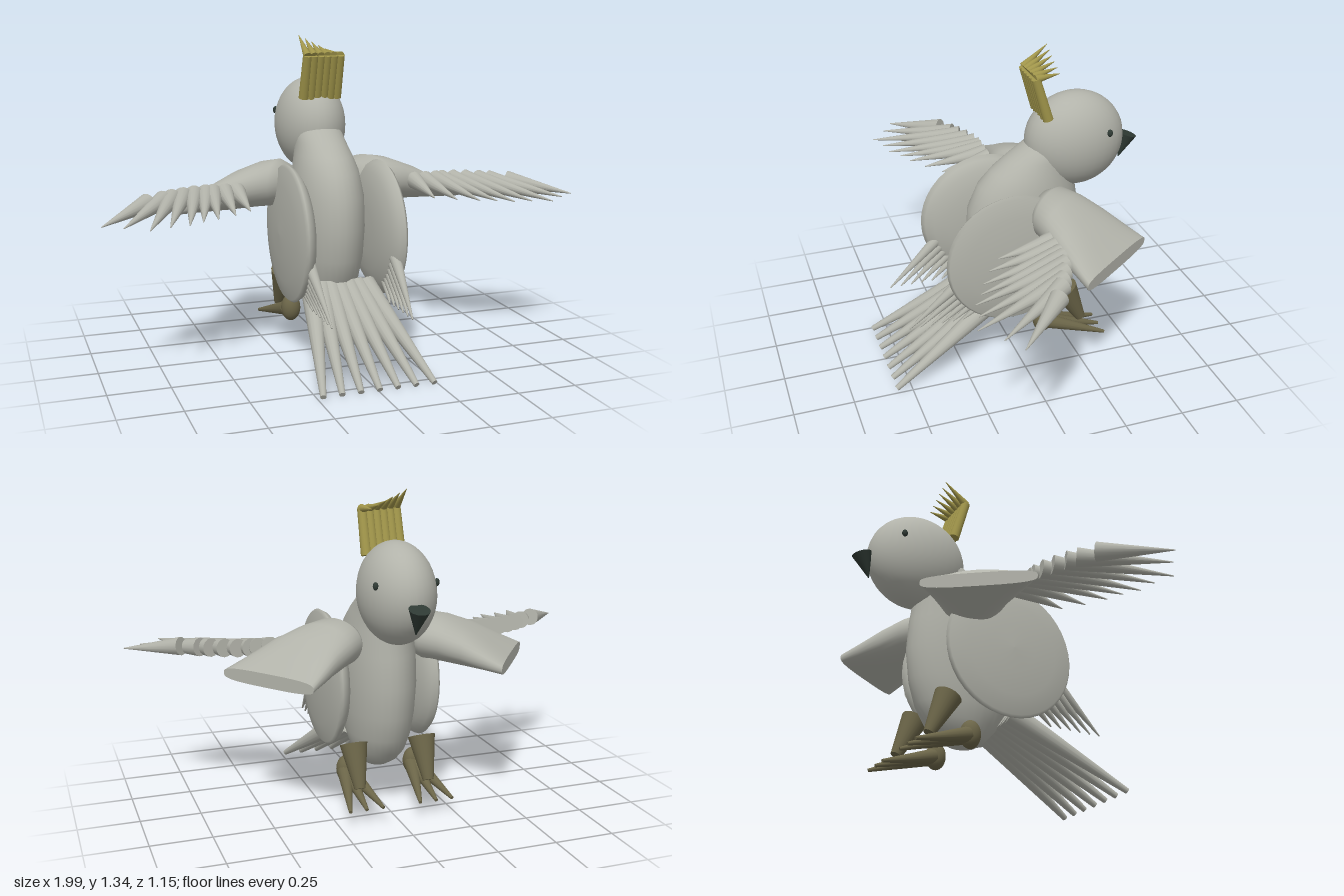
import * as THREE from 'three';

const V = (x, y, z) => new THREE.Vector3(x, y, z);
const material = (name, color) => {
  const m = new THREE.MeshStandardMaterial({ color });
  m.name = name;
  return m;
};

// Skin through rings; each ring is { c: centre, u, v: half-axes, p: squareness }, u x v along the path
function loft(rings, sides = 32) {
  const pos = [], index = [];
  const bend = (t, p) => Math.sign(t) * Math.abs(t) ** p;
  rings.forEach(({ c, u, v, p = 1 }, i) => {
    for (let j = 0; j < sides; j++) {
      const a = (j / sides) * Math.PI * 2;
      const q = c.clone().addScaledVector(u, bend(Math.cos(a), p)).addScaledVector(v, bend(Math.sin(a), p));
      pos.push(q.x, q.y, q.z);
      if (i === rings.length - 1) continue;
      const k = (j + 1) % sides, A = i * sides, B = A + sides;
      index.push(A + j, A + k, B + j, A + k, B + k, B + j);
    }
  });
  const g = new THREE.BufferGeometry();
  g.setAttribute('position', new THREE.Float32BufferAttribute(pos, 3));
  g.setIndex(index);
  g.computeVertexNormals();
  return g;
}

export function createModel() {
  const root = new THREE.Group();
  root.name = 'bird';
  const plumage = material('greyPlumage', 0xb2b3aa);
  const crestYellow = material('crestYellow', 0xa0954a);
  const legBrown = material('legBrown', 0x6b6548);
  const dark = material('darkHorn', 0x2f3a34);

  const add = (name, geometry, mat, parent = root) => {
    const mesh = new THREE.Mesh(geometry, mat);
    mesh.name = name;
    parent.add(mesh);
    return mesh;
  };
  const group = (name) => {
    const g = new THREE.Group();
    g.name = name;
    root.add(g);
    return g;
  };
  // Tapered rod from a to b
  const taper = (name, a, b, ra, rb, mat, parent, sides = 14) => {
    const d = b.clone().sub(a);
    const mesh = add(name, new THREE.CylinderGeometry(rb, ra, d.length(), sides), mat, parent);
    mesh.position.copy(a).add(b).multiplyScalar(0.5);
    mesh.quaternion.setFromUnitVectors(V(0, 1, 0), d.normalize());
    return mesh;
  };
  const ellipsoid = (name, c, r, mat, parent) => {
    const mesh = add(name, new THREE.SphereGeometry(1, 32, 20), mat, parent);
    mesh.position.copy(c);
    mesh.scale.copy(r);
  };
  const lerp = THREE.MathUtils.lerp;

  // Body and neck: y, centre z, half width, half depth
  const bodyRings = [
    [0.16, -0.07, 0, 0], [0.172, -0.07, 0.05, 0.06], [0.2, -0.075, 0.083, 0.105], [0.25, -0.08, 0.11, 0.155],
    [0.32, -0.075, 0.13, 0.2], [0.42, -0.07, 0.143, 0.235], [0.55, -0.07, 0.15, 0.25], [0.68, -0.07, 0.147, 0.24],
    [0.78, -0.085, 0.133, 0.21], [0.84, -0.115, 0.117, 0.185], [0.89, -0.155, 0.105, 0.16], [0.94, -0.2, 0.1, 0.13],
    [1.0, -0.25, 0.08, 0.1],
  ].map(([y, z, rx, rz]) => ({ c: V(0, y, z), u: V(rx, 0, 0), v: V(0, 0, -rz) }));
  add('body', loft(bodyRings), plumage);
  ellipsoid('head', V(0, 0.947, -0.295), V(0.15, 0.206, 0.215), plumage);
  taper('beak', V(0, 0.928, -0.54), V(0, 0.825, -0.505), 0.042, 0.002, dark, root, 20);

  // Crest: quills with bent tips fanning upward
  const crest = group('crest');
  for (let i = 0; i < 6; i++) {
    const x = lerp(-0.073, 0.073, i / 5);
    taper('crestQuill', V(x, 1.075, -0.152), V(x, 1.258, -0.097), 0.022, 0.019, crestYellow, crest);
    taper('crestTip', V(x, 1.256, -0.095), V(x - 0.006, lerp(1.34, 1.265, i / 5), -0.2), 0.018, 0.001, crestYellow, crest);
  }

  // Fanned tail
  const tail = group('tail');
  for (let i = -3; i <= 3; i++)
    taper('tailFeather', V(i * 0.04, 0.3, 0.09), V(i * 0.077, 0.016, 0.565), 0.046, 0.012, plumage, tail);

  for (const s of [1, -1]) {
    const side = s > 0 ? 'left' : 'right';
    ellipsoid(side + 'Eye', V(s * 0.125, 1.0, -0.405), V(0.011, 0.016, 0.012), dark);

    // Lens-shaped flank
    const profile = [[0, 0.13], [0.1, 0.132], [0.18, 0.142], [0.24, 0.16], [0.275, 0.182], [0.288, 0.205],
      [0.278, 0.217], [0.2, 0.232], [0.1, 0.242], [0, 0.245]].map(([r, y]) => new THREE.Vector2(r, y));
    const flank = add(side + 'Flank', new THREE.LatheGeometry(profile, 40), plumage);
    flank.rotation.z = -s * Math.PI / 2;
    flank.position.set(0, 0.535, 0.038);

    // Upper wing: x, y, z, half width, half thickness, squareness
    const wingRings = [
      [0.14, 0.72, -0.1, 0, 0, 1], [0.15, 0.725, -0.11, 0.09, 0.07, 1], [0.2, 0.725, -0.125, 0.135, 0.098, 1],
      [0.27, 0.715, -0.16, 0.155, 0.095, 0.95], [0.36, 0.69, -0.2, 0.18, 0.08, 0.85],
      [0.45, 0.657, -0.245, 0.205, 0.052, 0.75], [0.522, 0.632, -0.28, 0.224, 0.028, 0.6],
      [0.522, 0.632, -0.28, 0.224, 0.028, 0.6], [0.522, 0.632, -0.28, 0, 0, 1],
    ].map(([x, y, z, w, h, p]) => ({ c: V(s * x, y, z), u: V(s * 0.59 * w, 0, 0.8 * w), v: V(0, -s * h, 0), p }));
    add(side + 'UpperWing', loft(wingRings), plumage);

    // Flight feathers: base x, z then tip x, z
    const wing = group(side + 'FlightFeathers');
    [[0.79, 0.07, 0.995, 0.27], [0.72, 0.03, 0.92, 0.32], [0.68, 0.005, 0.835, 0.39], [0.63, -0.02, 0.755, 0.36],
      [0.58, -0.04, 0.68, 0.35], [0.53, -0.05, 0.62, 0.31], [0.5, -0.05, 0.555, 0.28], [0.45, -0.05, 0.475, 0.23],
      [0.4, -0.05, 0.4, 0.17]].forEach(([bx, bz, tx, tz]) =>
      taper('flightFeather', V(s * bx, 0.71, bz), V(s * tx, 0.67, tz), 0.038, 0.002, plumage, wing));

    // Short feathers behind the flank
    const rear = group(side + 'RearFeathers');
    for (let i = 0; i < 6; i++) {
      const t = i / 5;
      taper('rearFeather', V(s * 0.185, lerp(0.46, 0.37, t), lerp(0.255, 0.12, t)),
        V(s * 0.168, 0.257, lerp(0.485, 0.25, t)), 0.026, 0.003, plumage, rear);
    }

    // Leg, heel and three toes
    const leg = group(side + 'Leg');
    taper('shank', V(s * 0.15, 0.31, -0.21), V(s * 0.15, 0.143, -0.29), 0.057, 0.023, legBrown, leg, 20);
    ellipsoid('heel', V(s * 0.15, 0.167, -0.112), V(0.042, 0.058, 0.042), legBrown, leg);
    for (const k of [-1, 0, 1])
      taper('toe', V(s * (0.15 + k * 0.012), 0.16, -0.13), V(s * (0.15 + k * 0.07), 0.086, -0.378), 0.032, 0.007, legBrown, leg);
  }
  return root;
}
